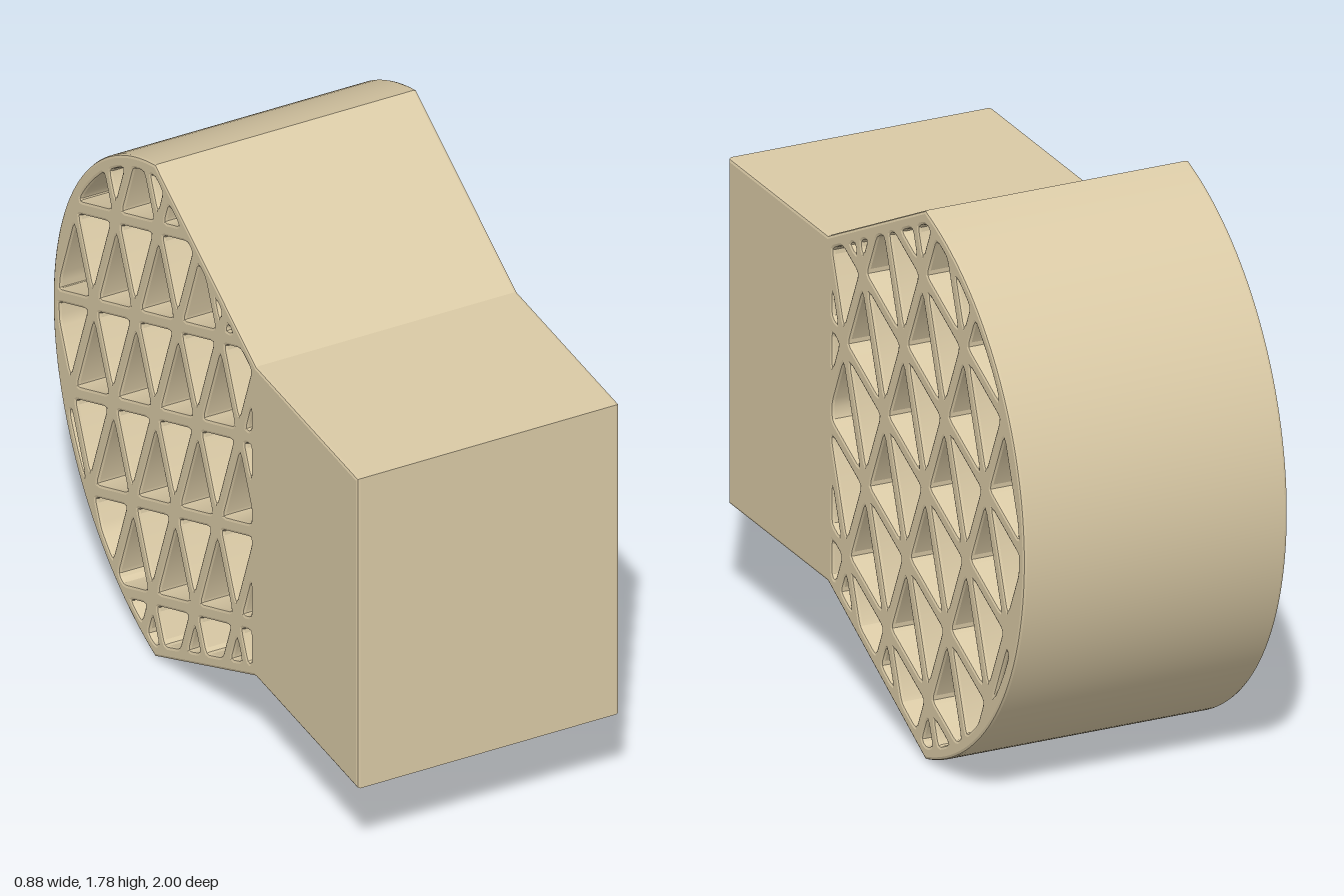
import * as THREE from 'three';
import { toCreasedNormals } from 'three/addons/utils/BufferGeometryUtils.js';

const V = (x, y) => new THREE.Vector2(x, y);
const WIDTH = 0.88, BEVEL = 0.01;
const MID_Y = 0.89, TIP = 0.33;            // head tips lie at x = TIP, where x runs backwards
const ARC_R = 0.926, ARC_X = 1 - ARC_R;    // curved back wall
const PITCH = 0.305, TILT = THREE.MathUtils.degToRad(-25), HALF_STRUT = 0.023;

// Keep the part of a convex polygon where n.p >= d
function clip(poly, n, d) {
  const out = [];
  poly.forEach((a, i) => {
    const b = poly[(i + 1) % poly.length];
    const da = a.dot(n) - d, db = b.dot(n) - d;
    if (da >= 0) out.push(a);
    if ((da > 0 && db < 0) || (da < 0 && db > 0)) out.push(a.clone().lerp(b, da / (da - db)));
  });
  return out;
}

// Shrink a convex counter-clockwise polygon
function inset(poly, amount) {
  let out = poly;
  poly.forEach((a, i) => {
    const e = poly[(i + 1) % poly.length].clone().sub(a);
    if (e.length() < 1e-6) return;
    const n = V(-e.y, e.x).normalize();
    out = clip(out, n, a.dot(n) + amount);
  });
  return out;
}

// Round the corners and drop near-duplicate points
function rounded(poly, r) {
  const pts = poly.filter((p, i) => p.distanceTo(poly[(i + 1) % poly.length]) > 0.008);
  const out = [];
  pts.forEach((p, i) => {
    const toward = (q) => {
      const len = p.distanceTo(q);
      return p.clone().lerp(q, Math.min(r, 0.4 * len) / len);
    };
    const a = toward(pts[(i + pts.length - 1) % pts.length]);
    const b = toward(pts[(i + 1) % pts.length]);
    const m = a.clone().add(b).multiplyScalar(0.25).addScaledVector(p, 0.5);
    out.push(a, m, b);
  });
  return out;
}

// Curved back wall from the lower tip to the upper tip
function backArc(steps) {
  const half = Math.atan2(MID_Y, TIP - ARC_X);
  return Array.from({ length: steps + 1 }, (_, i) => {
    const t = -half + (2 * half * i) / steps;
    return V(ARC_X + ARC_R * Math.cos(t), MID_Y + ARC_R * Math.sin(t));
  });
}

// Cut the head area along three families of lines: a tilted square grid plus one diagonal
function latticeHoles() {
  const slope = 0.33 / 0.66, x0 = -0.341;
  const low = 0.33 - slope * (x0 + TIP);
  let cells = [inset([V(x0, low), ...backArc(32), V(x0, 2 * MID_Y - low)], 0.018)];
  const node = V(0.33, 0.882);
  const families = [
    [TILT, PITCH],
    [TILT + Math.PI / 2, PITCH],
    [TILT + Math.PI / 4, PITCH / Math.SQRT2],
  ];
  for (const [angle, step] of families) {
    const n = V(Math.cos(angle), Math.sin(angle));
    for (let k = -6; k <= 6; k++) {
      const d = n.dot(node) + k * step;
      cells = cells.flatMap((c) => [clip(c, n, d), clip(c, n.clone().negate(), -d)])
        .filter((c) => c.length > 2);
    }
  }
  return cells.map((c) => inset(c, HALF_STRUT))
    .filter((c) => c.length > 2 && THREE.ShapeUtils.area(c) > 0.0005)
    .map((c) => rounded(c, 0.018))
    .filter((c) => c.length > 6);
}

export function createModel() {
  const group = new THREE.Group();
  group.name = 'latticeBlock';

  // Solid front block flowing into the fan-shaped head
  const outline = new THREE.Shape([
    V(-1, 0.33), V(-0.33, 0.33), ...backArc(64), V(-0.33, 1.45), V(-1, 1.45),
  ]);
  // Openings run right through the head
  outline.holes = latticeHoles().map((c) => new THREE.Path(c));

  const geometry = new THREE.ExtrudeGeometry(outline, {
    depth: WIDTH - 2 * BEVEL,
    bevelEnabled: true,
    bevelThickness: BEVEL,
    bevelSize: BEVEL,
    bevelOffset: -BEVEL,
    bevelSegments: 2,
  });
  geometry.translate(0, 0, -WIDTH / 2 + BEVEL);
  geometry.rotateY(Math.PI / 2);

  const body = new THREE.Mesh(
    toCreasedNormals(geometry, 0.3),
    new THREE.MeshStandardMaterial({ color: 0xd9c9a5 }),
  );
  body.name = 'blockWithLatticeHead';
  group.add(body);
  return group;
}
